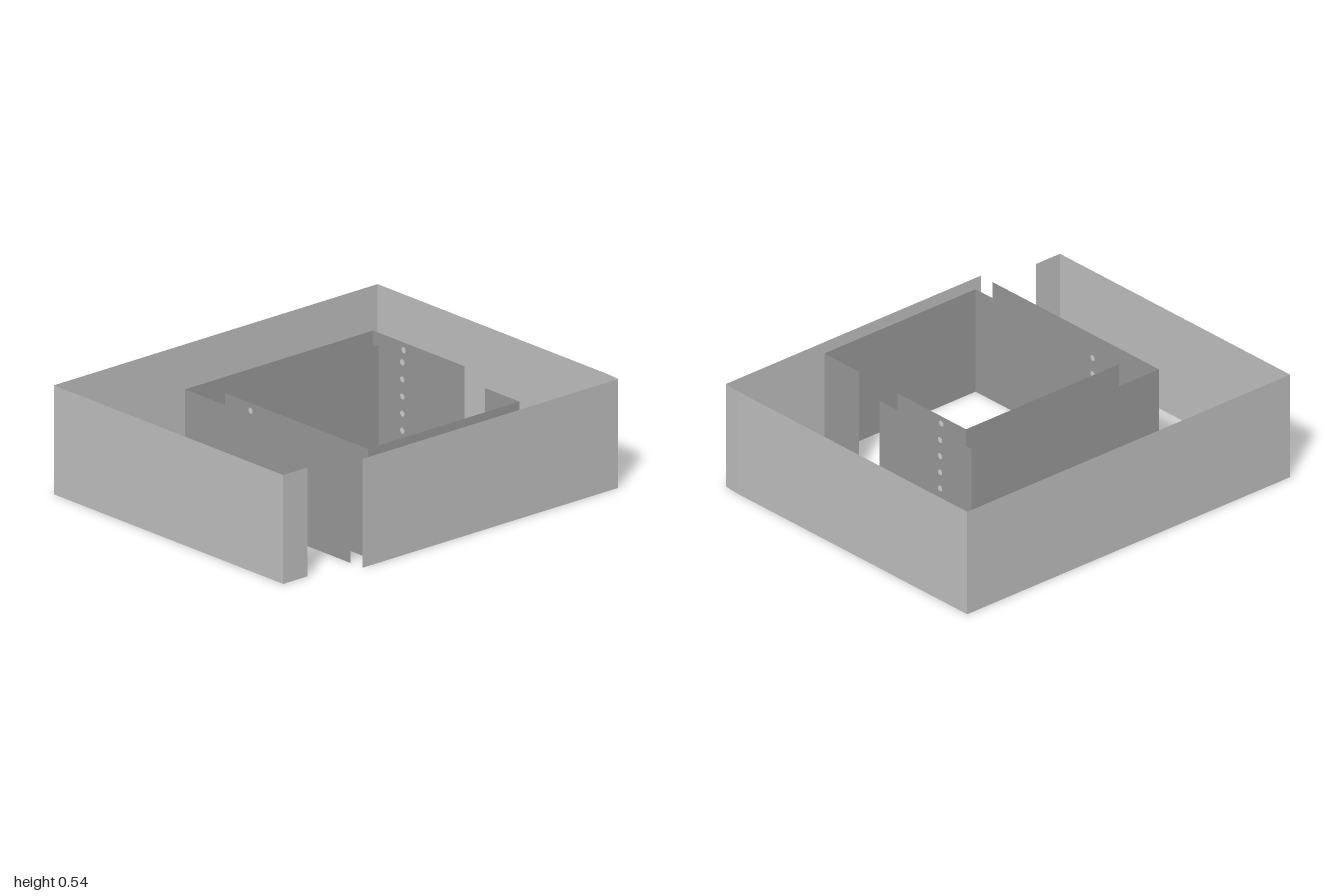
import * as THREE from 'three';

const H = 0.535;

function material(name, color) {
  const m = new THREE.MeshStandardMaterial({ color, side: THREE.DoubleSide });
  m.name = name;
  return m;
}

// Upright sheet that follows a plan path of [x, z] points
function sheet(path, mat, name) {
  const g = new THREE.Group();
  g.name = name;
  for (let i = 0; i < path.length - 1; i++) {
    const [x0, z0] = path[i], [x1, z1] = path[i + 1];
    const panel = new THREE.Mesh(new THREE.PlaneGeometry(Math.hypot(x1 - x0, z1 - z0), H), mat);
    panel.position.set((x0 + x1) / 2, H / 2, (z0 + z1) / 2);
    panel.rotation.y = -Math.atan2(z1 - z0, x1 - x0);
    panel.name = name + 'Panel';
    g.add(panel);
  }
  return g;
}

// Column of flat round spots on both faces of a wall
function spotColumn(x, z, mat, name) {
  const g = new THREE.Group();
  g.name = name;
  const disc = new THREE.CircleGeometry(0.015, 16);
  for (let i = 0; i < 6; i++) {
    for (const side of [-1, 1]) {
      const spot = new THREE.Mesh(disc, mat);
      spot.position.set(x, 0.498 - i * 0.084, z + side * 0.002);
      spot.name = 'spot';
      g.add(spot);
    }
  }
  return g;
}

// Flat cut-out of a standing person
function figure(x, z, height, spread, mat) {
  const half = [[0, 0.46], [0.05, 0], [0.13, 0], [0.11, 0.5], [0.12, 0.68],
    [0.12 + spread, 0.45], [0.17 + spread, 0.48], [0.15, 0.83], [0.04, 0.85]];
  const mirrored = half.slice(1).reverse().map(([a, b]) => [-a, b]);
  const outline = half.concat(mirrored).map(([a, b]) => new THREE.Vector2(a * height, b * height));
  const g = new THREE.Group();
  g.name = 'figure';
  const body = new THREE.Mesh(new THREE.ShapeGeometry(new THREE.Shape(outline)), mat);
  body.name = 'figureBody';
  const head = new THREE.Mesh(new THREE.CircleGeometry(0.08 * height, 16), mat);
  head.position.y = 0.92 * height;
  head.name = 'figureHead';
  g.add(body, head);
  g.position.set(x, 0, z);
  return g;
}

export function createModel() {
  const outer = material('light grey', 0xc0c0c0);
  const inner = material('mid grey', 0x999999);
  const spots = material('pale grey', 0xcfcfcf);
  const model = new THREE.Group();
  model.name = 'walledRooms';

  // Outer enclosure, open at the front corner
  model.add(sheet([[0.75, 0.85], [0.75, 1], [-0.835, 1], [-0.835, -1], [0.75, -1],
    [0.835, -0.993], [0.835, 0.588]], outer, 'outerWall'));

  // Middle wall wraps three sides of the inner room
  model.add(sheet([[0.24, -0.577], [-0.393, -0.577], [-0.393, 0.585], [0.752, 0.585]], inner, 'middleWall'));

  // Inner room with a doorway in its back wall
  model.add(sheet([[0.24, -0.466], [-0.233, -0.466], [-0.233, 0.48], [0.753, 0.48],
    [0.753, -0.456], [0.515, -0.456]], inner, 'innerWall'));

  // Rows of round spots
  model.add(spotColumn(-0.065, -0.466, spots, 'innerBackSpots'));
  model.add(spotColumn(-0.18, -0.577, spots, 'middleBackSpots'));
  model.add(spotColumn(-0.055, 0.48, spots, 'innerFrontSpots'));

  // Two small standing figures in the room
  model.add(figure(0.244, -0.065, 0.16, 0.1, inner));
  model.add(figure(0.166, -0.065, 0.14, 0.02, inner));
  return model;
}
